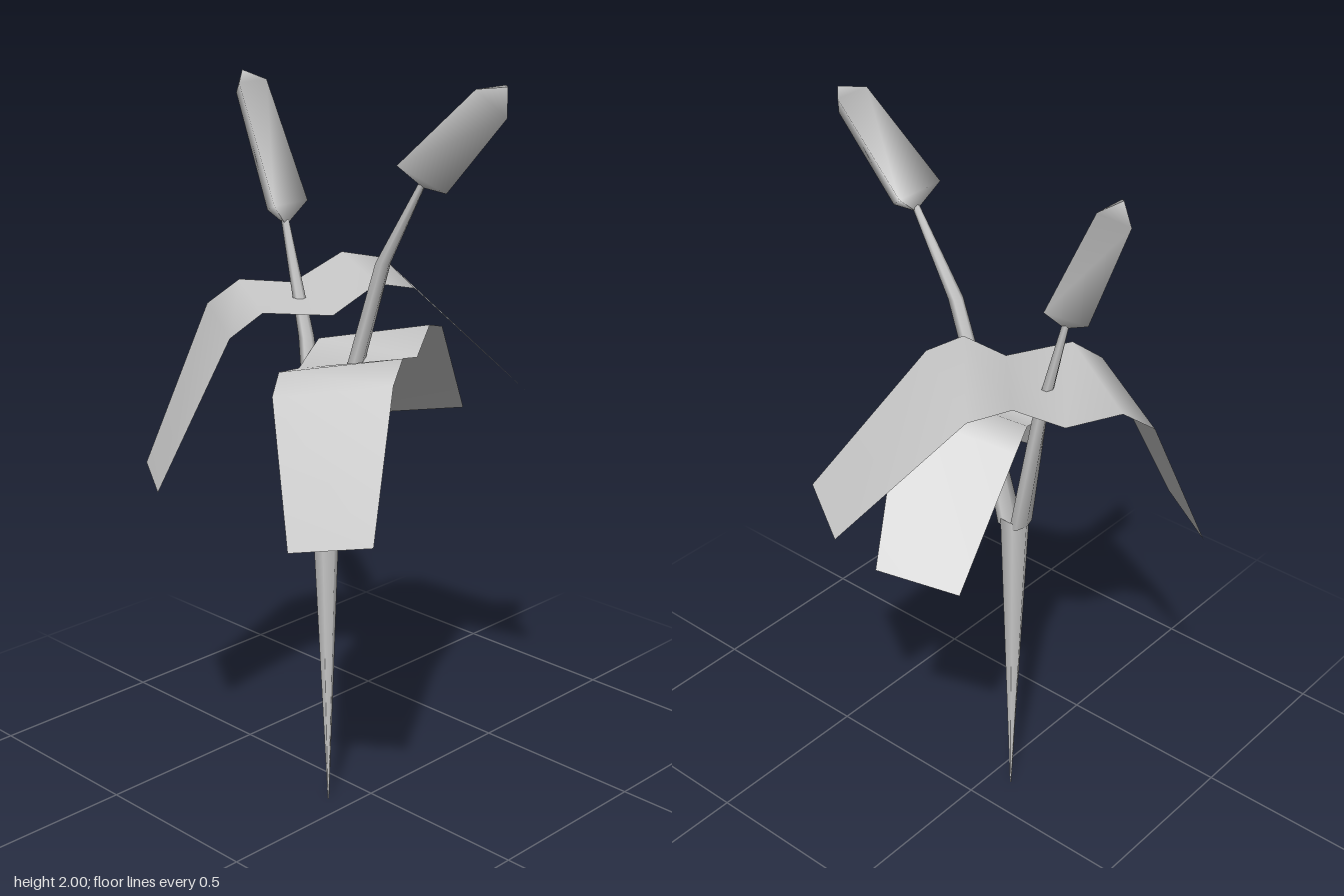
import * as THREE from 'three';

const material = new THREE.MeshStandardMaterial({ color: 0xcccccc });
const thinMaterial = new THREE.MeshStandardMaterial({ color: 0xcccccc, side: THREE.DoubleSide });

// Skin a row of cross-sections; closed sections wrap round, open ones make a ribbon
function loft(name, sections, closed) {
  const n = sections[0].length;
  const index = [];
  for (let s = 0; s < sections.length - 1; s++) {
    for (let i = 0; i < (closed ? n : n - 1); i++) {
      const j = (i + 1) % n;
      const a = s * n + i, b = s * n + j;
      index.push(a, a + n, b, b, a + n, b + n);
    }
  }
  const geometry = new THREE.BufferGeometry();
  geometry.setAttribute('position', new THREE.Float32BufferAttribute(sections.flat(2), 3));
  geometry.setIndex(index);
  geometry.computeVertexNormals();
  const mesh = new THREE.Mesh(geometry, closed ? material : thinMaterial);
  mesh.name = name;
  return mesh;
}

// Stalk from rows of [x, y, z, radiusX, radiusZ]
function stalk(name, rows) {
  const sides = 6;
  return loft(name, rows.map(([x, y, z, rx, rz]) =>
    Array.from({ length: sides }, (_, i) => {
      const a = (i / sides) * Math.PI * 2;
      return [x + rx * Math.cos(a), y, z + rz * Math.sin(a)];
    })), true);
}

// Three-sided bud: a keel on the outer side and a pair of wings, pointed at both ends
function bud(name, side, foot, rings, tip) {
  const z = 0.075;
  const point = ([x, y]) => Array.from({ length: 3 }, () => [x, y, z]);
  const ring = ({ keel, wing: [x, y, half] }) => [
    [keel[0], keel[1], z], [x, y, z + side * half], [x, y, z - side * half],
  ];
  return loft(name, [point(foot), ...rings.map(ring), point(tip)], true);
}

export function createModel() {
  const model = new THREE.Group();
  model.name = 'plant';

  // Tapered main stem, forking into two branches
  model.add(
    stalk('mainStem', [
      [-0.065, 0, 0.102, 0.002, 0.002],
      [-0.065, 0.95, 0.102, 0.04, 0.042],
    ]),
    stalk('leftBranch', [
      [-0.045, 0.93, 0.102, 0.02, 0.04],
      [0.02, 1.25, 0.08, 0.021, 0.024],
      [0.12, 1.54, 0.08, 0.02, 0.02],
      [0.25, 1.76, 0.076, 0.009, 0.01],
    ]),
    stalk('rightBranch', [
      [-0.085, 0.93, 0.102, 0.02, 0.04],
      [-0.16, 1.3, 0.075, 0.018, 0.022],
      [-0.235, 1.6, 0.075, 0.01, 0.01],
    ]),
  );

  // Buds at the branch ends
  model.add(
    bud('leftBud', 1, [0.245, 1.74], [
      { keel: [0.32, 1.735], wing: [0.23, 1.8, 0.075] },
      { keel: [0.5, 1.93], wing: [0.45, 1.995, 0.052] },
    ], [0.5, 2]),
    bud('rightBud', -1, [-0.23, 1.58], [
      { keel: [-0.3, 1.61], wing: [-0.21, 1.64, 0.058] },
      { keel: [-0.41, 1.9], wing: [-0.345, 1.935, 0.047] },
    ], [-0.385, 1.96]),
  );

  // Drooping leaf blades, each row being the two edges across the blade
  model.add(
    loft('upperLeaf', [
      [[-0.5, 0.94, 0.345], [-0.295, 0.94, 0.475]],
      [[-0.455, 1.35, 0.155], [-0.145, 1.35, 0.35]],
      [[-0.41, 1.41, 0.08], [-0.1, 1.41, 0.28]],
      [[-0.33, 1.395, -0.04], [0.0, 1.395, 0.135]],
      [[-0.26, 1.47, -0.155], [0.06, 1.47, 0.04]],
      [[-0.195, 1.45, -0.245], [0.105, 1.45, -0.05]],
      [[0.02, 1.145, -0.48], [0.23, 1.145, -0.345]],
    ], false),
    loft('lowerLeaf', [
      [[0.17, 0.9, 0.46], [0.365, 0.94, 0.365]],
      [[0.0, 1.23, 0.345], [0.275, 1.285, 0.205]],
      [[-0.045, 1.27, 0.28], [0.235, 1.33, 0.13]],
      [[-0.11, 1.24, 0.15], [0.18, 1.3, 0.02]],
      [[-0.15, 1.29, 0.04], [0.13, 1.355, -0.08]],
      [[-0.18, 1.26, -0.04], [0.1, 1.33, -0.16]],
      [[-0.225, 0.995, -0.305], [-0.03, 1.03, -0.395]],
    ], false),
  );

  return model;
}
